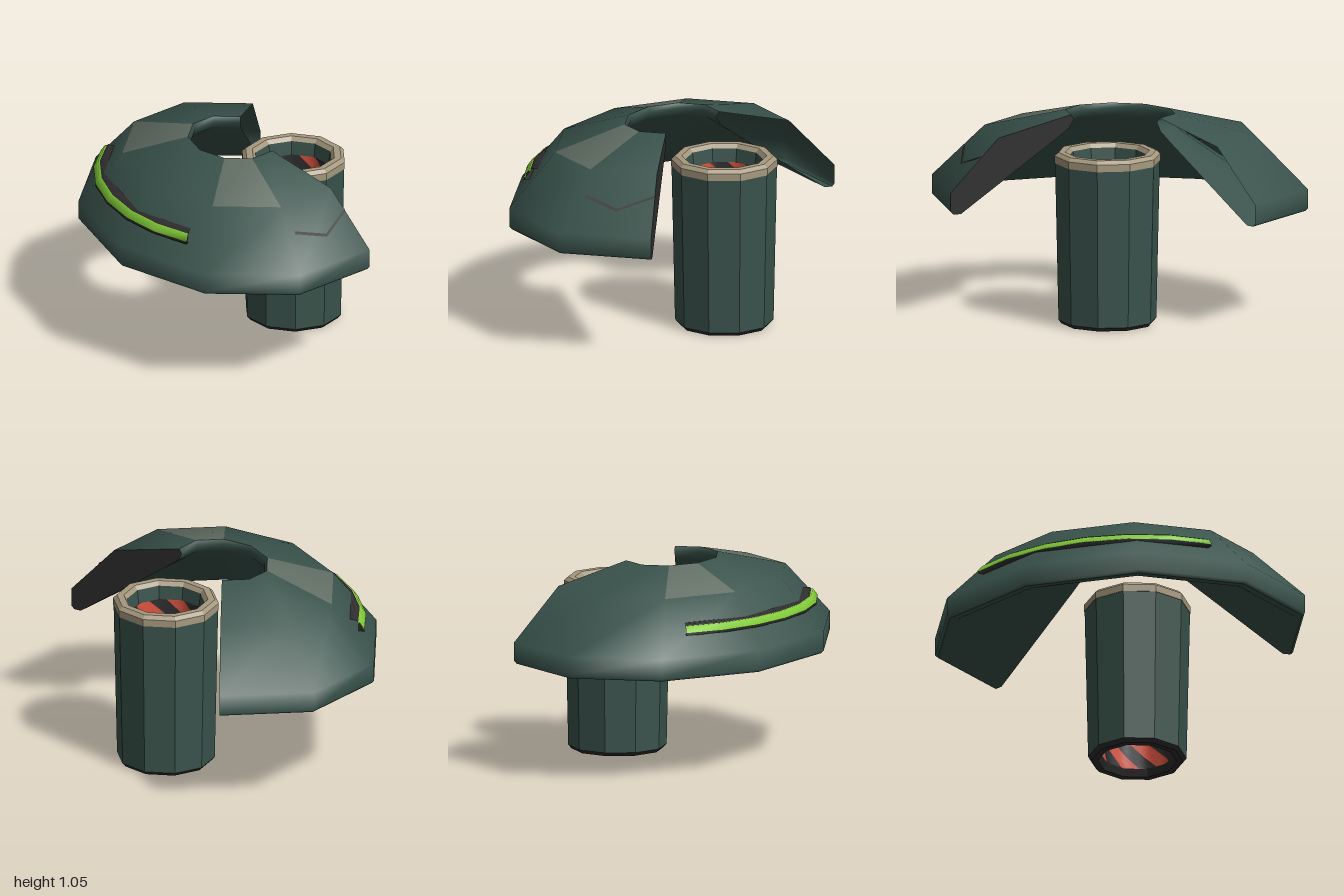
import * as THREE from 'three';

const mat = (name, color) => {
  const m = new THREE.MeshStandardMaterial({ color, side: THREE.DoubleSide });
  m.name = name;
  return m;
};
const rad = THREE.MathUtils.degToRad;

// Point on the stretched arc shared by the shell and its trim
const arcPoint = (r, y, deg) => [0.06 + 0.78 * r * Math.cos(rad(deg)), y, r * Math.sin(rad(deg))];

// Sweep a [radius, y] profile along the arc; special(i, j) picks faces for a second material
function sweep(profile, start, step, count, special = () => false) {
  const pos = [], plain = [], accent = [], n = profile.length;
  for (let i = 0; i <= count; i++)
    for (const [r, y] of profile) pos.push(...arcPoint(r, y, start + i * step));
  for (let i = 0; i < count; i++)
    for (let j = 0; j < n - 1; j++) {
      const a = i * n + j, b = a + n;
      (special(i, j) ? accent : plain).push(a, a + 1, b, a + 1, b + 1, b);
    }
  const g = new THREE.BufferGeometry();
  g.setAttribute('position', new THREE.Float32BufferAttribute(pos, 3));
  g.setIndex([...plain, ...accent]);
  g.addGroup(0, plain.length, 0);
  g.addGroup(plain.length, accent.length, 1);
  g.computeVertexNormals();
  return g;
}

// Flat-sided ten-sided turning
function turned(profile) {
  const g = new THREE.LatheGeometry(profile.map(([r, y]) => new THREE.Vector2(r, y)), 10)
    .rotateY(Math.PI / 2).toNonIndexed();
  g.computeVertexNormals();
  return g;
}

// Radius of a decagon with corners on the x axis
function decagon(r, phi) {
  const s = Math.PI / 5;
  const local = ((phi % s) + s) % s;
  return r * Math.cos(s / 2) / Math.cos(local - s / 2);
}

// One slanted stripe on the inside of the tube
function stripe(phi0, width, y0, y1, turn) {
  const pos = [], idx = [], across = 6, down = 24;
  for (let t = 0; t <= down; t++)
    for (let s = 0; s <= across; s++) {
      const phi = phi0 + width * s / across + turn * t / down;
      const r = decagon(0.19, phi);
      pos.push(r * Math.cos(phi), y1 + (y0 - y1) * t / down, r * Math.sin(phi));
    }
  for (let t = 0; t < down; t++)
    for (let s = 0; s < across; s++) {
      const a = t * (across + 1) + s, b = a + across + 1;
      idx.push(a, b, a + 1, a + 1, b, b + 1);
    }
  const g = new THREE.BufferGeometry();
  g.setAttribute('position', new THREE.Float32BufferAttribute(pos, 3));
  g.setIndex(idx);
  g.computeVertexNormals();
  return g;
}

export function createModel() {
  const green = mat('dark green', 0x3a534c);
  const patch = mat('worn green', 0x616e64);
  const charcoal = mat('charcoal', 0x302e2f);
  const lime = mat('lime', 0x82cc38);
  const bone = mat('bone', 0xa6997f);
  const red = mat('red', 0xdc5440);

  const model = new THREE.Group();
  const add = (parent, name, geometry, material) => {
    const m = new THREE.Mesh(geometry, material);
    m.name = name;
    parent.add(m);
  };

  // Shell: outer skin with two worn facets, inner skin, one closed end
  const shell = new THREE.Group();
  shell.name = 'shell';
  model.add(shell);
  const outer = [[0.985, 0.565], [1, 0.58], [1, 0.68], [0.72, 0.955], [0.29, 1.055]];
  const inner = [[0.29, 1.055], [0.272, 1.03], [0.3, 0.985], [0.38, 0.93], [0.94, 0.565], [0.985, 0.565]];
  add(shell, 'outerSkin', sweep(outer, 54, 36, 7, (i, j) => j === 3 && (i === 1 || i === 4)), [green, patch]);
  add(shell, 'innerSkin', sweep(inner, 54, 36, 7), [green, patch]);

  const cap = new THREE.ShapeGeometry(new THREE.Shape(
    [...outer, ...inner.slice(1, -1)].map(([r, y]) => new THREE.Vector2(r, y))));
  const cp = cap.attributes.position;
  for (let i = 0; i < cp.count; i++) cp.setXYZ(i, ...arcPoint(cp.getX(i), cp.getY(i), 54));
  cap.computeVertexNormals();
  add(shell, 'endCap', cap, charcoal);

  // Light strip in a dark channel
  const channel = [[0.83, 0.785], [0.897, 0.785], [0.85, 0.84], [0.78, 0.84]];
  const glow = [[0.88, 0.797], [0.898, 0.797], [0.868, 0.831], [0.85, 0.831]];
  add(shell, 'stripChannel', sweep(channel, 135, 15, 6).toNonIndexed(), [charcoal, charcoal]);
  add(shell, 'lightStrip', sweep(glow, 135, 15, 6).toNonIndexed(), [lime, lime]);

  // Scratch lying on the front facet
  const path = [[0.1, 0.845], [0.285, 0.793], [0.435, 0.86]];
  const scratch = new THREE.ShapeGeometry(new THREE.Shape([
    ...path.map(([x, y]) => new THREE.Vector2(x, y - 0.006)),
    ...path.map(([x, y]) => new THREE.Vector2(x, y + 0.006)).reverse(),
  ]));
  const sp = scratch.attributes.position;
  for (let i = 0; i < sp.count; i++) {
    const r = 1 - 0.28 * (sp.getY(i) - 0.68) / 0.275;
    sp.setZ(i, r - 0.414 * (sp.getX(i) - 0.06) + 0.005);
  }
  scratch.computeVertexNormals();
  add(shell, 'scratch', scratch, charcoal);

  // Open tube standing beside the shell
  const tube = new THREE.Group();
  tube.name = 'tube';
  tube.position.x = 0.398;
  model.add(tube);
  add(tube, 'tubeBody', turned([[0.257, 0.02], [0.275, 0.855]]), green);
  add(tube, 'tubeBore', turned([[0.205, 0.89], [0.196, 0.82], [0.196, 0.03]]), green);
  add(tube, 'topRing', turned([[0.275, 0.855], [0.278, 0.855], [0.278, 0.893], [0.258, 0.912],
    [0.222, 0.912], [0.205, 0.89]]), bone);
  add(tube, 'bottomRing', turned([[0.19, 0.04], [0.205, 0], [0.24, 0], [0.257, 0.02]]), charcoal);

  // Slanted stripes lining the bore
  const width = Math.PI / 6;
  for (let i = 0; i < 12; i++)
    add(tube, i % 2 ? 'darkStripe' : 'redStripe',
      stripe(i * width, width, 0.04, 0.82, 4.5), i % 2 ? charcoal : red);

  return model;
}
